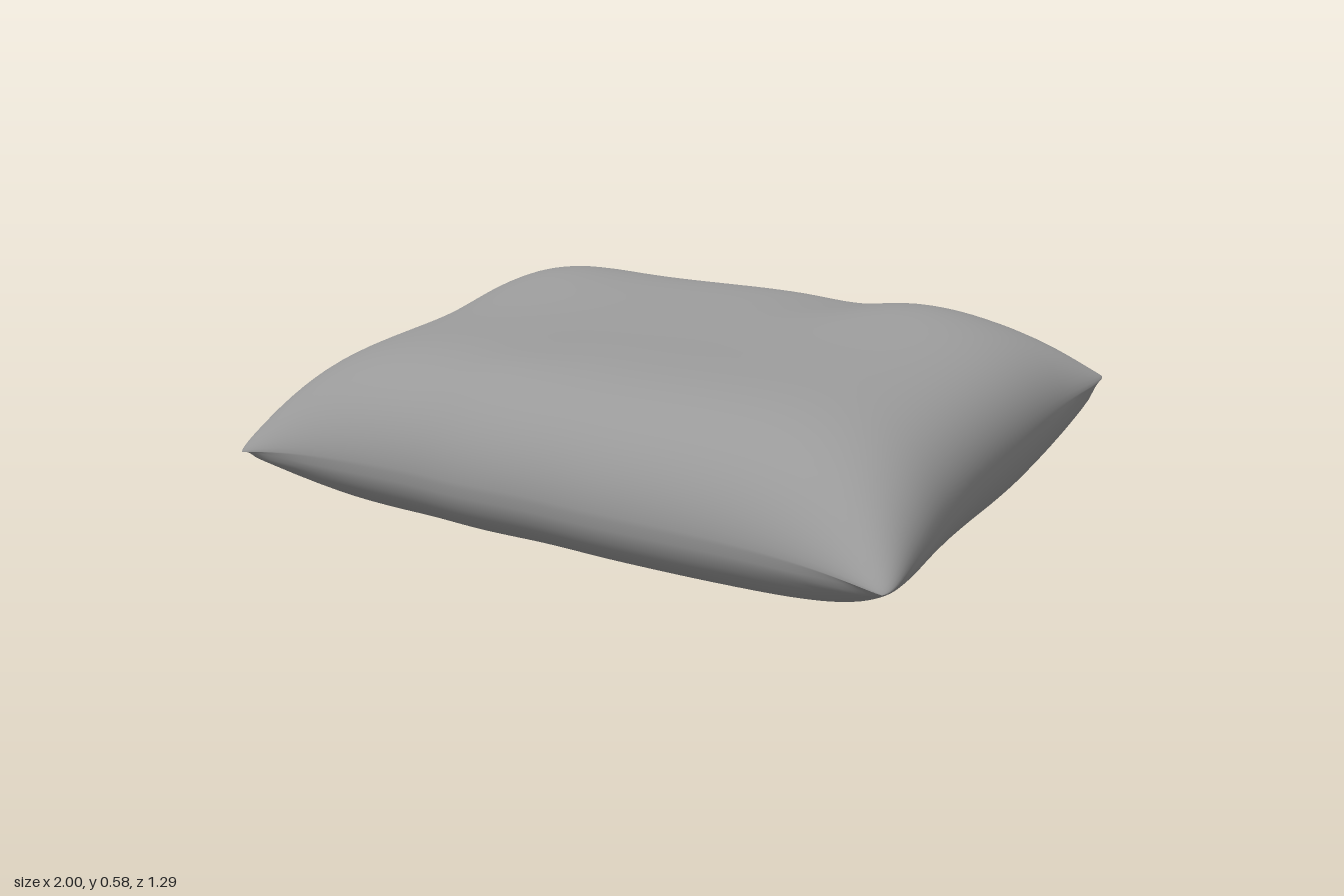
import * as THREE from 'three';
import { mergeGeometries, mergeVertices } from 'three/addons/utils/BufferGeometryUtils.js';

// Smooth function on [-1, 1] through evenly spaced values
function smoothCurve(values) {
  const curve = new THREE.SplineCurve(values.map((v, i) => new THREE.Vector2(i, v)));
  return t => curve.getPoint(THREE.MathUtils.clamp((t + 1) / 2, 0, 1)).y;
}

// Seam outline: x of the sides from back to front, z of the ends from -x to +x
const sideRight = smoothCurve([0.965, 0.925, 0.912, 0.915, 0.935, 0.972, 1.008]);
const sideLeft = smoothCurve([-0.99, -0.962, -0.945, -0.925, -0.95, -0.987, -1.006]);
const endFront = smoothCurve([0.635, 0.612, 0.605, 0.602, 0.617, 0.612, 0.622, 0.622, 0.622, 0.632, 0.652]);
const endBack = smoothCurve([-0.658, -0.627, -0.609, -0.61, -0.625, -0.625, -0.625, -0.605, -0.598, -0.615, -0.648]);

// Soft bumps and dents of the upper cloth: x, z, radius, height
const bumps = [
  [-0.62, -0.28, 0.25, 0.038],
  [0.55, -0.35, 0.22, 0.018],
  [0.29, -0.42, 0.16, -0.02],
  [-0.2, 0.45, 0.13, 0.008],
];

const lerp = THREE.MathUtils.lerp;

// One cloth panel; side = 1 for the upper, -1 for the lower
function clothPanel(side) {
  const geo = new THREE.PlaneGeometry(2, 2, 64, 48);
  const pos = geo.attributes.position;
  for (let i = 0; i < pos.count; i++) {
    // Denser rows toward the rounded seam
    const u = Math.sin(pos.getX(i) * Math.PI / 2);
    const v = -Math.sin(pos.getY(i) * Math.PI / 2);
    const corner = Math.pow(Math.abs(u * v), 24);
    const x = lerp(sideLeft(v), sideRight(v), (u + 1) / 2) - 0.022 * corner * Math.sign(u);
    const z = lerp(endBack(u), endFront(u), (v + 1) / 2) - 0.014 * corner * Math.sign(v);

    // Seam rises from front to back
    const seam = 0.25 - v * (0.13 - 0.04 * (1 - u ** 4)) - 0.014 * u;
    // Puff fades to zero at the seam: blunt midway along it, slimmer at the corners
    const sidePower = 4 + (side > 0 ? 2.5 : 1.5) * (1 - v * v);
    const endPower = side > 0 ? 4 + (1 - u * u) * (1 - v) : 4;
    const fade = Math.max(0, (1 - Math.abs(u) ** sidePower) * (1 - Math.abs(v) ** endPower));
    const puff = fade ** (0.5 + 0.15 * (u * v) ** 4);
    let y;
    if (side > 0) {
      y = seam + puff * (0.24 + 0.025 * v * v);
      for (const [bx, bz, r, h] of bumps) {
        y += puff * h * Math.exp(-((x - bx) ** 2 + (z - bz) ** 2) / (r * r));
      }
    } else {
      // Underside settles flat on the ground
      y = seam - puff * (0.285 - 0.075 * v);
      y = (y + Math.sqrt(y * y + 0.0003)) / 2 - 0.003 * puff;
      y = Math.max(0, y);
      y = lerp(seam, y, Math.min(1, puff * 8));
    }
    pos.setXYZ(i, x, y, z);
  }
  if (side < 0) {
    const index = geo.index;
    for (let i = 0; i < index.count; i += 3) {
      const a = index.getX(i);
      index.setX(i, index.getX(i + 1));
      index.setX(i + 1, a);
    }
  }
  geo.deleteAttribute('uv');
  geo.deleteAttribute('normal');
  return geo;
}

export function createModel() {
  const group = new THREE.Group();
  group.name = 'pillow';

  // Join both panels along the seam so the shading runs smoothly across
  const geo = mergeVertices(mergeGeometries([clothPanel(1), clothPanel(-1)]), 1e-4);
  geo.computeVertexNormals();
  const cushion = new THREE.Mesh(geo, new THREE.MeshStandardMaterial({ color: 0x999999 }));
  cushion.name = 'cushion';
  group.add(cushion);
  return group;
}
